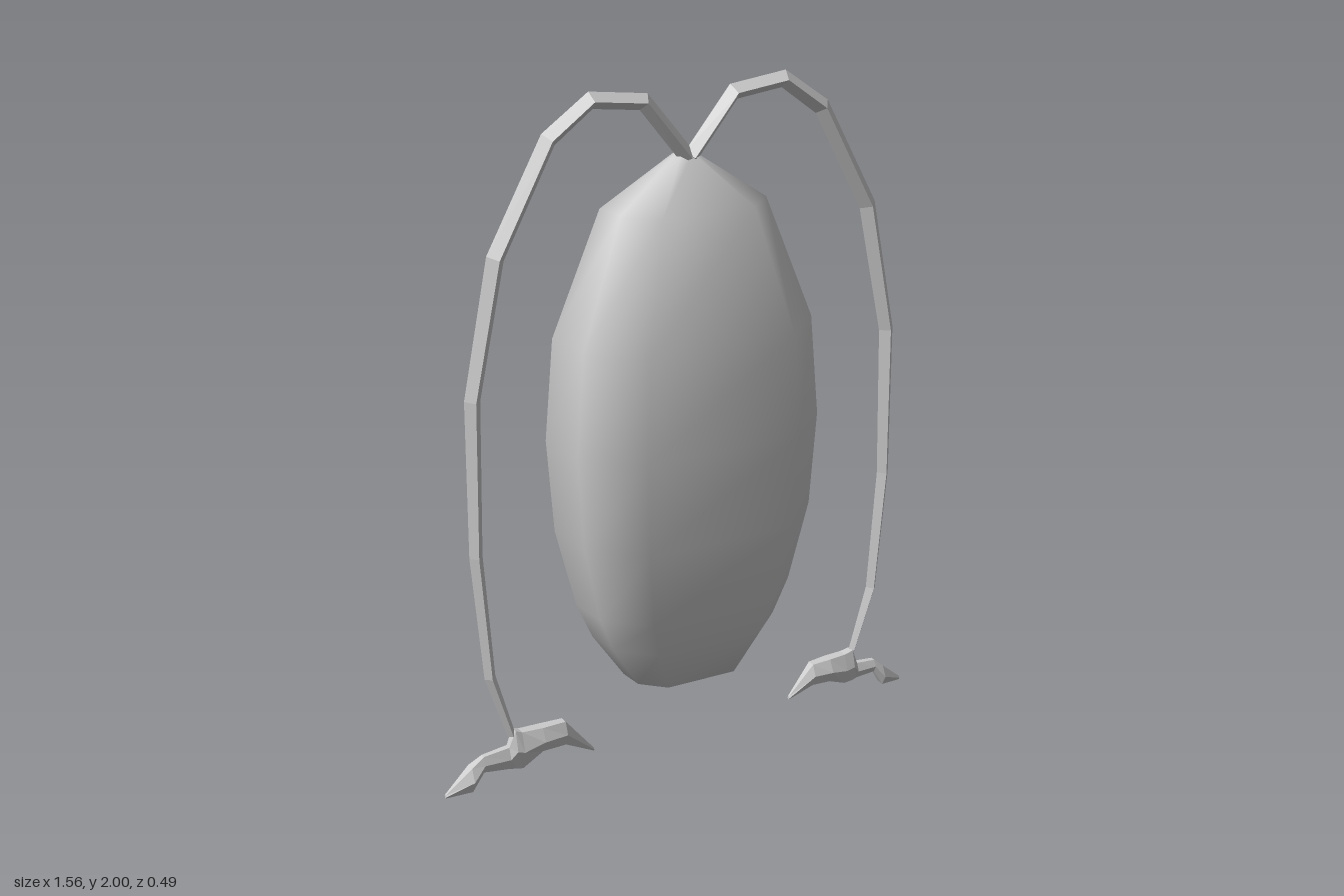
import * as THREE from 'three';

const V = (x, y, z) => new THREE.Vector3(x, y, z);

// Skin a list of rings (counter-clockwise about the direction of travel) and cap both ends.
function loft(name, rings, flat) {
  const n = rings[0].length;
  const last = (rings.length - 1) * n;
  const centre = (ring) => ring.reduce((s, p) => s.add(p), V(0, 0, 0)).divideScalar(n);
  const points = [...rings.flat(), centre(rings[0]), centre(rings[rings.length - 1])];
  const index = [];
  for (let i = 0; i < n; i++) {
    const j = (i + 1) % n;
    for (let a = 0; a < last; a += n) {
      index.push(a + i, a + j, a + n + j, a + i, a + n + j, a + n + i);
    }
    index.push(last + n, j, i, last + n + 1, last + i, last + j);
  }
  let geometry = new THREE.BufferGeometry().setFromPoints(points);
  geometry.setIndex(index);
  if (flat) geometry = geometry.toNonIndexed();
  geometry.computeVertexNormals();
  const material = new THREE.MeshStandardMaterial({ color: 0xcccccc, flatShading: flat });
  const mesh = new THREE.Mesh(geometry, material);
  mesh.name = name;
  return mesh;
}

// Smooth eight-sided body, flatter and broader at the front.
function makeBody() {
  const half = [[0.6, 1], [0.96, 0.42], [1, -0.29], [0.3, -1]];
  const outline = [...half, ...half.map(([x, z]) => [-x, z]).reverse()];
  // height, half width, half depth
  const levels = [
    [0.23, 0.185, 0.11], [0.37, 0.28, 0.16], [0.48, 0.327, 0.187], [0.72, 0.385, 0.23],
    [1.0, 0.405, 0.243], [1.3, 0.38, 0.23], [1.66, 0.24, 0.145], [1.8, 0.03, 0.02],
  ];
  return loft('body', levels.map(([y, w, d]) =>
    outline.map(([x, z]) => V(0.007 + x * w, y, 0.003 + z * d))), false);
}

// Thin diamond-section limb arching from the top of the body down to the foot.
function makeLimb(name, side) {
  const path = [
    [0.005, 1.79], [0.14, 1.957], [0.3, 1.977], [0.427, 1.885], [0.59, 1.58],
    [0.67, 1.19], [0.675, 0.73], [0.645, 0.35], [0.583, 0.15],
  ].map(([x, y]) => V(0.015 + side * x, y, 0.02));
  const width = [0.024, 0.025, 0.025, 0.026, 0.027, 0.024, 0.02, 0.017, 0.012];
  const rings = path.map((p, i) => {
    const t = V(0, 0, 0);
    if (i > 0) t.add(p.clone().sub(path[i - 1]).normalize());
    if (i < path.length - 1) t.add(path[i + 1].clone().sub(p).normalize());
    t.normalize();
    const w = width[i];
    const d = w * 1.15;
    return [[w, 0], [0, d], [-w, 0], [0, -d]].map(([a, b]) =>
      V(p.x - t.y * a, p.y + t.x * a, p.z + b));
  });
  return loft(name, rings, true);
}

// Faceted foot from stations of x, top, bottom and half depth.
function makeFoot(name, stations) {
  return loft(name, stations.map(([x, top, bottom, d]) => {
    const mid = (top + bottom) / 2;
    return [[top, 0.45], [mid, 1], [bottom, 0.45], [bottom, -0.45], [mid, -1], [top, -0.45]]
      .map(([y, z]) => V(x, y, 0.018 + z * d));
  }), true);
}

export function createModel() {
  const model = new THREE.Group();
  model.name = 'longLeggedPod';
  model.add(
    makeBody(),
    makeLimb('leftLimb', 1),
    makeLimb('rightLimb', -1),
    makeFoot('rightFoot', [
      [-0.78, 0.01, 0, 0.006], [-0.7, 0.08, 0.005, 0.032], [-0.66, 0.105, 0.055, 0.018],
      [-0.58, 0.115, 0.046, 0.022], [-0.56, 0.165, 0.043, 0.028], [-0.54, 0.157, 0.04, 0.032],
      [-0.475, 0.155, 0.08, 0.036], [-0.4, 0.155, 0.08, 0.028], [-0.305, 0.04, 0.03, 0.006],
    ]),
    makeFoot('leftFoot', [
      [0.37, 0.04, 0.03, 0.006], [0.45, 0.135, 0.065, 0.028], [0.51, 0.14, 0.065, 0.036],
      [0.565, 0.143, 0.045, 0.032], [0.595, 0.15, 0.046, 0.028], [0.615, 0.1, 0.05, 0.02],
      [0.68, 0.095, 0.055, 0.018], [0.71, 0.07, 0.005, 0.03], [0.78, 0.012, 0, 0.006],
    ]),
  );
  return model;
}
